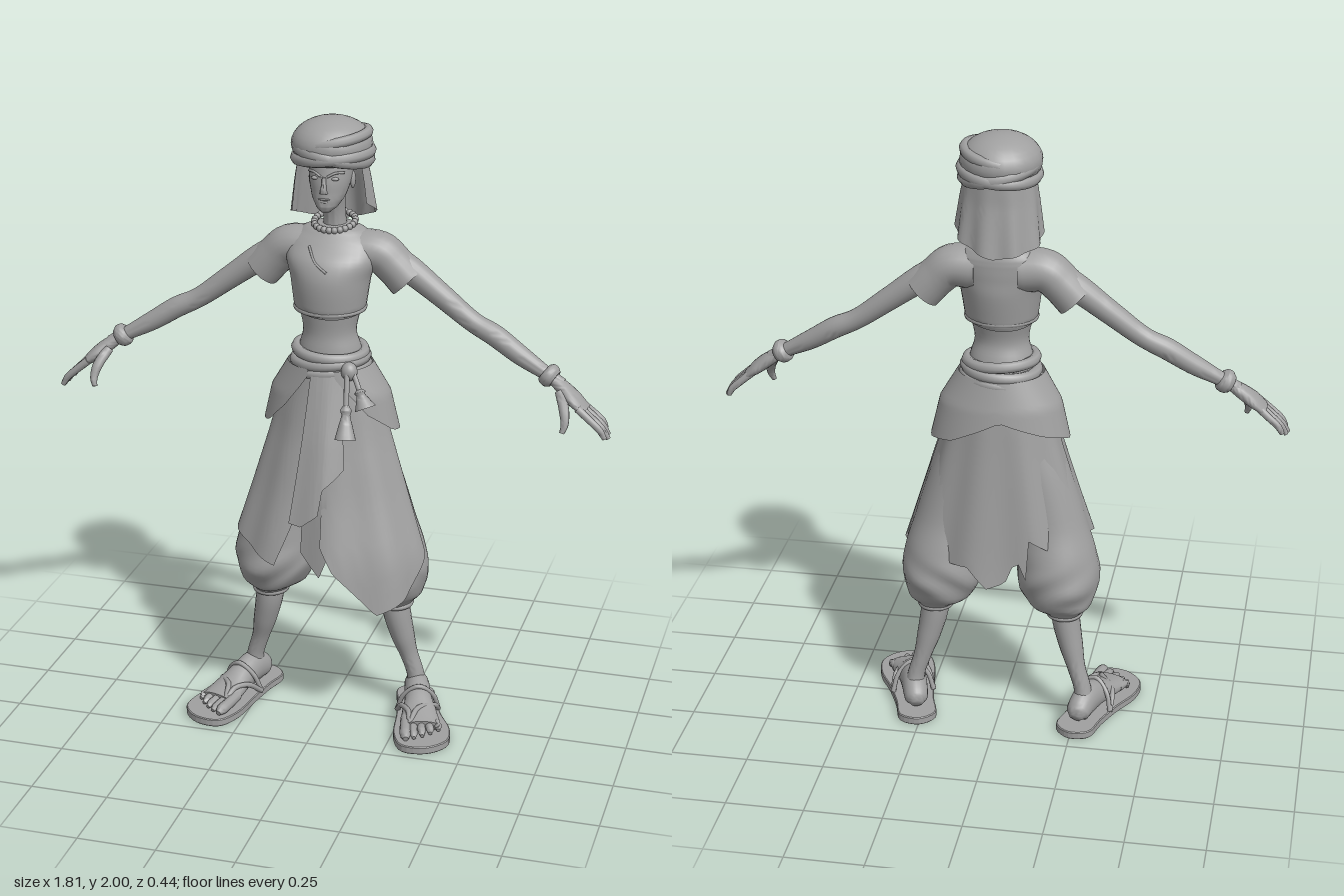
import * as THREE from 'three';
import { toCreasedNormals } from 'three/addons/utils/BufferGeometryUtils.js';

const V = (x, y, z) => new THREE.Vector3(x, y, z);
const UP = V(0, 1, 0), FRONT = V(0, 0, 1);

// Smooth skin from index grid; wrap joins the last column to the first.
function grid(rows, wrap, caps) {
  const n = rows[0].length, pos = [], idx = [];
  rows.forEach(r => r.forEach(p => pos.push(p.x, p.y, p.z)));
  for (let i = 0; i < rows.length - 1; i++) {
    for (let j = 0; j < (wrap ? n : n - 1); j++) {
      const a = i * n + j, b = i * n + (j + 1) % n;
      idx.push(a, b, a + n, b, b + n, a + n);
    }
  }
  if (caps) [0, rows.length - 1].forEach((i, end) => {
    const c = rows[i].reduce((s, p) => s.add(p), V(0, 0, 0)).divideScalar(n), k = pos.length / 3;
    pos.push(c.x, c.y, c.z);
    for (let j = 0; j < n; j++) {
      const a = i * n + j, b = i * n + (j + 1) % n;
      end ? idx.push(k, a, b) : idx.push(k, b, a);
    }
  });
  const g = new THREE.BufferGeometry();
  g.setAttribute('position', new THREE.Float32BufferAttribute(pos, 3));
  g.setIndex(idx);
  return toCreasedNormals(g, 1);
}

// Elliptical sections [x, y, z, across, alongRef] blended along a path.
function sweep(pts, { ref = FRONT, dir = null, n = 20, steps = 5, warp = null } = {}) {
  const path = new THREE.CatmullRomCurve3(pts.map(p => V(p[0], p[1], p[2])));
  const size = new THREE.CatmullRomCurve3(pts.map(p => V(p[3], p[4] ?? p[3], 0)), false, 'catmullrom', 0.4);
  const rows = [], count = (pts.length - 1) * steps;
  for (let i = 0; i <= count; i++) {
    const c = path.getPoint(i / count), s = size.getPoint(i / count), t = dir ?? path.getTangent(i / count);
    const u = ref.clone().cross(t).normalize(), v = t.clone().cross(u), row = [];
    for (let j = 0; j < n; j++) {
      const a = j / n * Math.PI * 2;
      const p = c.clone().addScaledVector(u, s.x * Math.cos(a)).addScaledVector(v, s.y * Math.sin(a));
      if (warp) warp(p, a);
      row.push(p);
    }
    rows.push(row);
  }
  return grid(rows, true, true);
}

const lerpTable = (table, x) => {
  let i = 0;
  const up = table[0][0] < table[1][0];
  while (i < table.length - 2 && (up ? x > table[i + 1][0] : x < table[i + 1][0])) i++;
  const [a, b] = [table[i], table[i + 1]], t = (x - a[0]) / (b[0] - a[0]);
  return a.map((q, k) => q + (b[k] - q) * t);
};

// Hanging cloth: profile rows [y, halfWidth, zFront, zBack]; hem rows [degrees, y]; 0 degrees is the front.
function cloth(profile, hem, { off = 0, fold = 0, lean = 0 } = {}) {
  const rows = [], cols = 48, a0 = hem[0][0], a1 = hem[hem.length - 1][0], top = profile[0][0];
  for (let i = 0; i <= 14; i++) {
    const row = [];
    for (let j = 0; j <= cols; j++) {
      const deg = a0 + (a1 - a0) * j / cols, y = top + (lerpTable(hem, deg)[1] - top) * i / 14;
      const [, rx, zf, zb] = lerpTable(profile, y);
      const a = (deg + lean * i / 14) * Math.PI / 180, o = off + fold * (i / 14) * Math.sin(deg * 0.16);
      row.push(V((rx + o) * Math.sin(a), y, (zf + zb) / 2 + ((zf - zb) / 2 + o) * Math.cos(a)));
    }
    rows.push(row);
  }
  return grid(rows.reverse(), false, false);
}

const tube = (pts, r, closed = false) => new THREE.TubeGeometry(
  new THREE.CatmullRomCurve3(pts.map(p => V(...p)), closed), closed ? 48 : 24, r, 8, closed);

// Closed roll around the body; tilt raises the sides and pitch raises the back.
const roll = (y, z, rx, rz, r, tilt = 0, pitch = 0) => tube(Array.from({ length: 24 }, (_, i) => {
  const a = i / 24 * Math.PI * 2;
  return [rx * Math.sin(a), y + tilt * Math.sin(a) - pitch * Math.cos(a), z + rz * Math.cos(a)];
}), r, true);

const ball = (x, y, z, rx, ry, rz) => new THREE.SphereGeometry(1, 24, 16).scale(rx, ry, rz).translate(x, y, z);

function mirrored(geo) {
  const g = geo.index ? geo.toNonIndexed() : geo.clone();
  g.scale(-1, 1, 1);
  for (const at of Object.values(g.attributes)) {
    const s = at.itemSize, d = at.array;
    for (let i = 0; i < d.length; i += 3 * s) for (let k = 0; k < s; k++) {
      [d[i + s + k], d[i + 2 * s + k]] = [d[i + 2 * s + k], d[i + s + k]];
    }
  }
  return g;
}

export function createModel() {
  const model = new THREE.Group();
  const grey = new THREE.MeshStandardMaterial({ color: 0xa0a0a0, side: THREE.DoubleSide });
  grey.name = 'clay grey';
  const add = (name, geo) => {
    const m = new THREE.Mesh(geo, grey);
    m.name = name;
    model.add(m);
  };
  const pair = (name, geo) => { add('left ' + name, geo); add('right ' + name, mirrored(geo)); };
  const upright = { dir: UP, n: 32 };

  // Head, face and neck
  add('head', sweep([[0, 1.722, .022, .014, .018], [0, 1.738, .005, .034, .044], [0, 1.77, -.015, .053, .063],
    [0, 1.82, -.035, .066, .08], [0, 1.88, -.05, .07, .085], [0, 1.93, -.05, .06, .07]], upright));
  add('nose', sweep([[0, 1.785, .045, .013, .014], [0, 1.795, .048, .01, .014], [0, 1.835, .042, .006, .01]], { dir: UP, n: 10 }));
  add('upper lip', ball(0, 1.766, .044, .019, .004, .008));
  add('lower lip', ball(0, 1.758, .042, .015, .005, .008));
  pair('brow', tube([[.01, 1.836, .043], [.032, 1.847, .034], [.056, 1.846, .012]], .004));
  pair('eye', ball(.03, 1.829, .032, .014, .006, .008));
  pair('ear', ball(.066, 1.81, -.05, .008, .028, .016));
  add('neck', sweep([[0, 1.61, -.085, .055, .05], [0, 1.65, -.083, .038, .042], [0, 1.7, -.078, .034, .042],
    [0, 1.77, -.06, .038, .045]], upright));

  // Wrapped headdress and its drape
  add('turban', ball(-.004, 1.918, -.062, .126, .083, .134));
  add('turban front fold', roll(1.885, -.062, .112, .122, .02, .012, -.004));
  add('turban cross fold', roll(1.892, -.062, .108, .12, .021, -.022, -.006));
  add('turban upper fold', roll(1.935, -.062, .105, .115, .017, .02, 0));
  add('head drape', cloth([[1.89, .105, .05, -.165], [1.8, .12, .035, -.168], [1.64, .14, .02, -.19]],
    [[68, 1.74], [90, 1.71], [130, 1.68], [180, 1.64], [230, 1.66], [270, 1.685], [292, 1.7]], { fold: .006 }));
  for (let i = 0; i < 24; i++) {
    const a = i / 24 * Math.PI * 2;
    add('necklace bead', new THREE.SphereGeometry(.011, 10, 8)
      .translate(.064 * Math.sin(a), 1.665 - .014 * Math.cos(a), -.08 + .066 * Math.cos(a)));
  }

  // Cropped top and bare waist
  add('cropped top', sweep([[0, 1.393, -.03, .108, .1], [0, 1.41, -.03, .115, .107], [0, 1.5, -.035, .127, .117],
    [0, 1.56, -.045, .145, .108], [0, 1.61, -.068, .14, .085], [0, 1.645, -.08, .1, .065], [0, 1.66, -.082, .06, .05]],
  { ...upright, warp: (p, a) => { if (p.y < 1.5) p.y += .01 * Math.sin(2 * a + 1) * (1.5 - p.y) * 6; } }));
  add('top hem', roll(1.405, -.03, .108, .1, .009, 0, .003));
  add('collar crease', tube([[-.055, 1.605, .017], [-.025, 1.565, .055], [.015, 1.54, .074]], .004));
  add('waist', sweep([[0, 1.18, -.035, .115, .1], [0, 1.27, -.03, .1, .085], [0, 1.33, -.025, .085, .073],
    [0, 1.41, -.03, .1, .085]], upright));
  pair('sleeve', sweep([[.07, 1.575, -.075, .07, .075], [.145, 1.575, -.078, .066, .07], [.19, 1.54, -.079, .063, .065],
    [.238, 1.49, -.08, .064, .064]]));

  // Arms, bracelets and hands
  pair('arm', sweep([[.13, 1.58, -.08, .045], [.22, 1.54, -.08, .044], [.34, 1.455, -.078, .037], [.45, 1.375, -.072, .032],
    [.52, 1.34, -.066, .034], [.6, 1.29, -.055, .031], [.69, 1.24, -.042, .022], [.74, 1.212, -.036, .02]]));
  pair('bracelet', sweep([[.683, 1.247, -.043, .027, .031], [.69, 1.242, -.042, .036, .038], [.705, 1.233, -.04, .037, .039],
    [.717, 1.226, -.038, .028, .031]]));
  pair('palm', sweep([[.715, 1.225, -.036, .018, .022], [.75, 1.2, -.03, .022, .033], [.785, 1.172, -.02, .021, .046],
    [.82, 1.143, -.015, .014, .044]]));
  for (let i = 0; i < 4; i++) {
    const z = -.052 + i * .025, long = [0, .012, .016, .008][i];
    pair('finger', sweep([[.8, 1.158, z * .85, .013], [.84, 1.125, z, .012], [.868 + long / 2, 1.1 - long / 2, z * 1.05, .011],
      [.88 + long, 1.078 - long, z * 1.05, .008]], { n: 8, steps: 3 }));
  }
  pair('thumb', sweep([[.74, 1.195, -.01, .017], [.762, 1.15, .035, .016], [.768, 1.115, .055, .012], [.762, 1.09, .065, .008]],
    { n: 10, ref: V(1, 0, 0) }));

  // Sash with knot and tassels
  add('upper sash', roll(1.262, -.033, .107, .1, .018, -.006, .004));
  add('middle sash', roll(1.235, -.034, .112, .106, .018, .008, 0));
  add('lower sash', roll(1.208, -.035, .116, .108, .016, .01, 0));
  add('sash knot', ball(.088, 1.225, .066, .026, .03, .026));
  const tassel = (x, y, z, x2, y2, z2) => {
    const at = t => [x + (x2 - x) * t, y + (y2 - y) * t, z + (z2 - z) * t];
    add('tassel cord', tube([at(0), at(.3), at(.6)], .009));
    add('tassel', sweep([[...at(.5), .01], [...at(.57), .018], [...at(.64), .014], [...at(.8), .023], [...at(1), .034]], { n: 14 }));
  };
  tassel(.085, 1.23, .08, .1, 1.03, .155);
  tassel(.1, 1.23, .07, .15, 1.12, .1);

  // Hip wrap and skirt panels
  const skirt = [[1.22, .122, .075, -.14], [1.1, .165, .085, -.158], [1, .19, .095, -.165], [.8, .25, .13, -.182],
    [.6, .312, .178, -.2], [.43, .33, .2, -.22]];
  add('hip wrap', cloth([[1.225, .128, .08, -.145], [1.13, .185, .085, -.168], [1, .215, .09, -.185]],
    [[18, 1.2], [45, 1.08], [75, 1.015], [105, 1], [140, 1.02], [185, 1.1], [225, 1.05], [270, 1.01], [300, 1.02], [325, 1.1], [343, 1.2]],
    { off: .008 }));
  add('left skirt panel', cloth(skirt, [[4, .66], [12, .58], [38, .44], [60, .48], [90, .6], [96, .62]], { off: .004, fold: .006 }));
  add('right skirt panel', cloth(skirt, [[-96, .68], [-80, .66], [-50, .62], [-24, .58], [-14, .76], [-5, .9]], { off: .004, fold: .006 }));
  add('back skirt panel', cloth(skirt, [[88, .62], [130, .59], [165, .6], [176, .53], [187, .55], [194, .64], [199, .56],
    [203, .7], [225, .63], [272, .68]], { fold: .008 }));
  add('front sash tail', cloth([[1.21, .126, .08, -.14], [1, .17, .135, -.165], [.73, .25, .195, -.18]],
    [[-14, .74], [-4, .735], [9, .78], [12, .86], [32, .92]], { off: .006, fold: .006, lean: -4 }));
  add('inner sash tail', cloth([[1.2, .12, .07, -.14], [.8, .22, .14, -.18], [.53, .28, .14, -.2]],
    [[-12, .62], [2, .54], [9, .62]], { fold: .004 }));

  // Baggy trousers gathered below the knee
  pair('trouser leg', sweep([[.21, .385, -.062, .052, .055], [.21, .405, -.062, .062, .068], [.197, .44, -.055, .105, .11],
    [.19, .52, -.048, .133, .138], [.183, .6, -.048, .128, .13], [.165, .72, -.04, .11, .11], [.125, .88, -.035, .1, .105],
    [.08, 1.02, -.035, .09, .1], [.06, 1.19, -.035, .06, .09]],
  { ...upright, warp: (p, a) => {
    const k = Math.max(0, 1 - Math.abs(p.y - .5) / .11);
    p.z += .008 * k * Math.sin(4 * a + p.y * 50);
    p.y += .012 * k * Math.sin(3 * a);
  } }));
  pair('trouser cuff', tube(Array.from({ length: 20 }, (_, i) => {
    const a = i / 20 * Math.PI * 2;
    return [.212 + .05 * Math.sin(a), .395, -.062 + .054 * Math.cos(a)];
  }), .011, true));
  pair('shin', sweep([[.283, .07, -.092, .034, .042], [.277, .13, -.088, .028, .032], [.256, .2, -.082, .029, .034],
    [.235, .28, -.07, .039, .045], [.218, .36, -.062, .045, .052], [.21, .43, -.06, .045, .052]]));

  // Feet and sandals, turned outward
  const foot = (name, geo) => pair(name, geo.rotateY(.3).translate(.312, 0, .005));
  const outline = new THREE.Shape().setFromPoints(new THREE.CatmullRomCurve3(
    [[0, -.215], [.055, -.185], [.06, -.1], [.072, 0], [.093, .1], [.078, .18], [.01, .222], [-.065, .205], [-.086, .13],
      [-.07, 0], [-.06, -.1], [-.055, -.185]].map(p => V(p[0], p[1], 0)), true).getPoints(48).map(p => new THREE.Vector2(p.x, p.y)));
  foot('sandal sole', new THREE.ExtrudeGeometry(outline, { depth: .02, bevelEnabled: true, bevelThickness: .003, bevelSize: .003, bevelSegments: 1 })
    .rotateX(Math.PI / 2).translate(0, .023, 0));
  foot('foot', sweep([[0, .05, -.165, .02, .018], [0, .062, -.145, .038, .04], [0, .078, -.09, .042, .055],
    [0, .07, -.02, .045, .047], [0, .055, .05, .058, .032], [0, .045, .12, .064, .02]], { ref: UP }));
  for (let i = 0; i < 5; i++) {
    const x = -.05 + i * .026, r = i ? .013 : .018, end = .188 - i * i * .0025 - i * .004;
    foot('toe', sweep([[x * .9, .05, .07, r], [x, .046, .12, r], [x * 1.05, .042, end - .02, r], [x * 1.05, .037, end, r * .5]],
      { ref: UP, n: 10, steps: 3 }));
  }
  foot('sandal strap', tube([[-.068, .026, -.04], [-.056, .07, .02], [-.038, .075, .07], [-.035, .056, .115],
    [-.01, .082, .068], [.048, .07, .02], [.068, .026, -.04]], .009));
  foot('instep strap', tube([[-.068, .026, -.04], [-.048, .085, -.025], [0, .122, -.012], [.048, .085, -.025], [.068, .026, -.04]], .008));
  return model;
}
